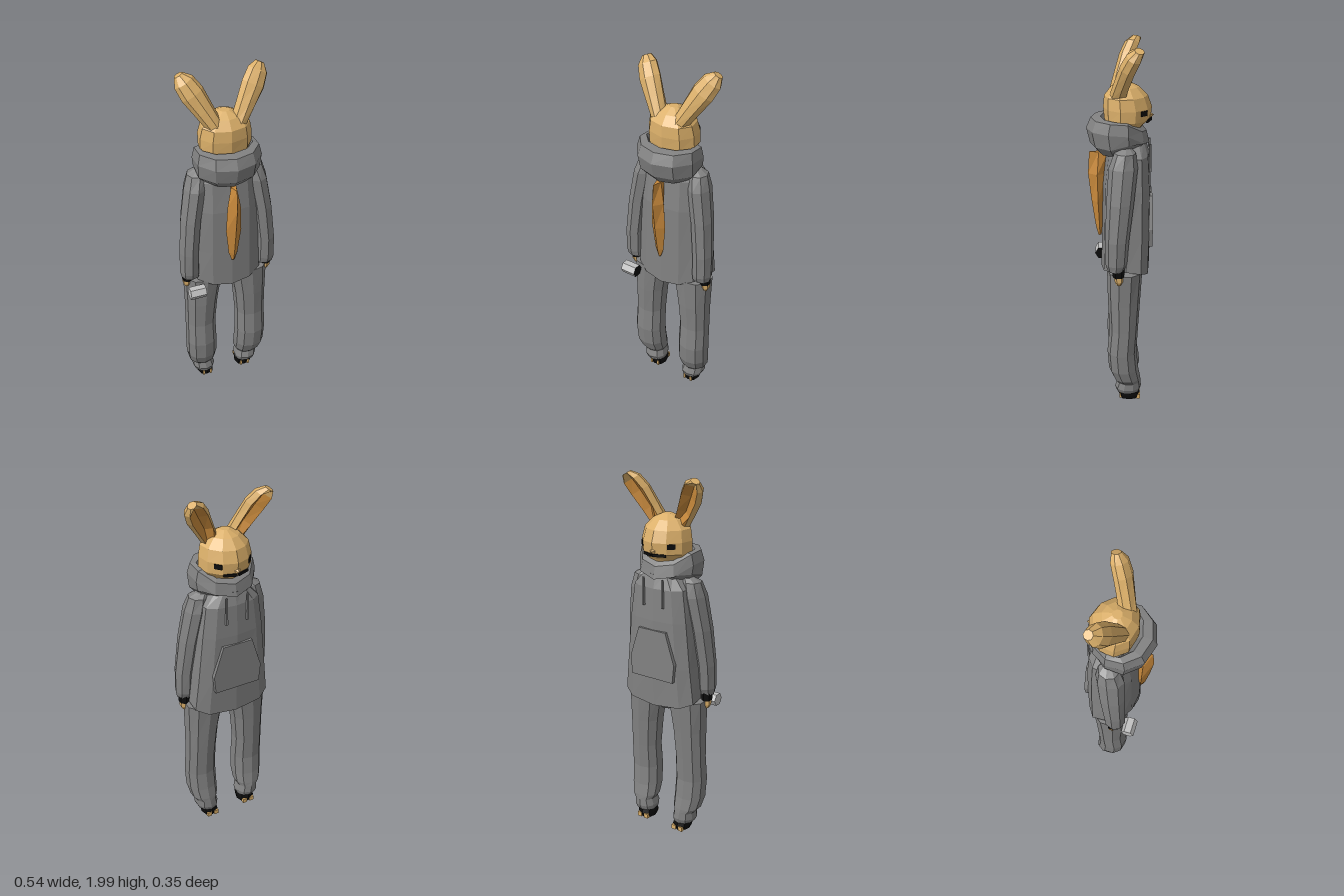
import * as THREE from 'three';

const mat = (name, color) => {
  const m = new THREE.MeshStandardMaterial({ color, flatShading: true });
  m.name = name;
  return m;
};

// Loft through level rings [y, centreX, halfWidth, zBack, zFront]; the face of the figure looks to -z.
// power < 1 squares the outline, warp adjusts a point, paint picks a material index per side.
function loft(rings, n, { power = 1, warp, paint = () => 0 } = {}) {
  const bend = (v) => Math.sign(v) * Math.pow(Math.abs(v), power);
  const pts = rings.map(([y, xc, rx, zb, zf], i) =>
    Array.from({ length: n }, (_, j) => {
      const a = (j / n) * Math.PI * 2;
      const p = new THREE.Vector3(xc + rx * bend(Math.sin(a)), y, (zb + zf) / 2 + ((zb - zf) / 2) * bend(Math.cos(a)));
      if (warp) warp(p, i, j, a);
      return p;
    }));
  const faces = [[], []];
  const tri = (g, ...ps) => ps.forEach((p) => faces[g].push(p.x, p.y, p.z));
  for (let i = 0; i < rings.length - 1; i++) {
    for (let j = 0; j < n; j++) {
      const k = (j + 1) % n, g = paint(i, j);
      tri(g, pts[i][j], pts[i][k], pts[i + 1][k]);
      tri(g, pts[i][j], pts[i + 1][k], pts[i + 1][j]);
    }
  }
  const middle = (r) => r.reduce((s, p) => s.add(p), new THREE.Vector3()).divideScalar(n);
  const low = pts[0], high = pts[rings.length - 1], lc = middle(low), hc = middle(high);
  for (let j = 0; j < n; j++) {
    const k = (j + 1) % n;
    tri(0, lc, low[k], low[j]);
    tri(0, hc, high[j], high[k]);
  }
  const geo = new THREE.BufferGeometry();
  geo.setAttribute('position', new THREE.Float32BufferAttribute([...faces[0], ...faces[1]], 3));
  geo.addGroup(0, faces[0].length / 3, 0);
  if (faces[1].length) geo.addGroup(faces[0].length / 3, faces[1].length / 3, 1);
  geo.computeVertexNormals();
  return geo;
}

export function createModel() {
  const root = new THREE.Group();
  const fur = mat('tan fur', 0xdcb06a);
  const orange = mat('orange fur', 0xc98a3c);
  const cloth = mat('grey cloth', 0x828282);
  const black = mat('black', 0x0c0c0c);
  const light = mat('light grey', 0xc0c0c0);

  const add = (name, geo, material, x = 0, y = 0, z = 0) => {
    const m = new THREE.Mesh(geo, material);
    m.name = name;
    m.position.set(x, y, z);
    root.add(m);
    return m;
  };

  // Hooded top: flared hem that is wider towards the chest side and lifted at the sides
  add('torso', loft([
    [0.77, 0, 0.22, 0.1, -0.16], [1.0, 0, 0.205, 0.095, -0.165], [1.25, 0, 0.185, 0.09, -0.165],
    [1.42, 0, 0.165, 0.07, -0.155], [1.5, 0, 0.09, 0.05, -0.13],
  ], 12, {
    power: 0.75,
    warp: (p, i, j, a) => {
      p.x *= 1 - [0.22, 0.16, 0.1, 0.05, 0][i] * Math.cos(a);
      if (i === 0) p.y += 0.05 * Math.sin(a) ** 2;
    },
  }), cloth);
  add('hood', loft([
    [1.42, 0, 0.12, 0.11, -0.12], [1.47, 0, 0.172, 0.155, -0.15], [1.55, 0, 0.178, 0.174, -0.155],
    [1.605, 0, 0.165, 0.15, -0.14], [1.61, 0, 0.14, 0.1, -0.115], [1.54, 0, 0.115, 0.06, -0.09],
  ], 10, {
    warp: (p, i) => {
      if (p.z < -0.03) p.y += i < 2 ? 0.025 : (p.z + 0.03) * 0.65;
    },
  }), cloth);
  const pocketShape = new THREE.Shape([[-0.13, 0.93], [0.13, 0.93], [0.14, 1.03], [0.085, 1.2], [-0.085, 1.2], [-0.14, 1.03]]
    .map(([x, y]) => new THREE.Vector2(x, y)));
  add('pocket', new THREE.ExtrudeGeometry(pocketShape, { depth: 0.022, bevelEnabled: false }), cloth, 0, 0, -0.172);

  // Trousers seat
  add('trouserSeat', loft([
    [0.72, 0, 0.05, 0.02, -0.07], [0.78, 0, 0.19, 0.07, -0.11], [0.88, 0, 0.19, 0.07, -0.12],
  ], 10), cloth);

  // Tail hanging down the back
  add('tail', loft([
    [0.95, 0, 0.008, 0.115, 0.1], [1.0, 0, 0.025, 0.128, 0.088], [1.15, 0, 0.042, 0.15, 0.08],
    [1.3, 0, 0.036, 0.167, 0.07], [1.42, 0, 0.014, 0.16, 0.06],
  ], 4), orange);

  // Head with tapered muzzle
  add('head', loft([
    [1.5, 0, 0.08, 0.04, -0.08], [1.57, 0, 0.12, 0.07, -0.125], [1.6, 0, 0.138, 0.08, -0.16],
    [1.66, 0, 0.137, 0.085, -0.166], [1.72, 0, 0.125, 0.08, -0.145], [1.765, 0, 0.08, 0.045, -0.1],
    [1.79, 0, 0.025, 0.0, -0.05],
  ], 10, { warp: (p, i, j, a) => { p.x *= 1 + 0.15 * Math.cos(a); } }), fur);
  const nose = add('nose', new THREE.ConeGeometry(0.025, 0.03, 5), fur, 0, 1.615, -0.162);
  nose.rotation.x = -Math.PI / 2;

  for (const s of [1, -1]) {
    const side = s > 0 ? 'left' : 'right';

    // Ears: dented on the facing side, with an orange inside
    const ear = add(side + 'Ear', loft([
      [-0.03, 0, 0.042, 0.05, -0.045], [0.08, 0, 0.052, 0.045, -0.045], [0.18, 0, 0.062, 0.04, -0.05],
      [0.25, 0, 0.054, 0.025, -0.06], [0.29, 0, 0.024, -0.005, -0.055],
    ], 8, {
      warp: (p, i, j) => { if (j === 4 && i > 0 && i < 4) p.z += 0.042; },
      paint: (i, j) => ((j === 3 || j === 4) && i < 3 ? 1 : 0),
    }), [fur, orange], s * 0.07, 1.74, 0);
    ear.rotation.set(-0.25, 0, -s * 0.5);

    // Eyes and mouth line
    const eye = add(side + 'Eye', new THREE.BoxGeometry(0.042, 0.026, 0.009), black, s * 0.088, 1.643, -0.122);
    eye.rotation.y = Math.atan2(s * 0.75, -0.65);
    const mouth = add(side + 'Mouth', new THREE.BoxGeometry(0.07, 0.014, 0.009), black, s * 0.036, 1.597, -0.151);
    mouth.rotation.y = Math.atan2(s * 0.36, -0.93);

    // Drawstring
    add(side + 'Drawstring', new THREE.CylinderGeometry(0.006, 0.009, 0.15, 5), cloth, s * 0.06, 1.4, -0.158);

    // Sleeve, wrist and hand
    add(side + 'Sleeve', loft([
      [0.835, s * 0.215, 0.05, 0.068, -0.02], [0.87, s * 0.218, 0.054, 0.078, -0.035],
      [1.0, s * 0.217, 0.054, 0.08, -0.045], [1.2, s * 0.198, 0.056, 0.072, -0.07],
      [1.38, s * 0.168, 0.058, 0.06, -0.09], [1.455, s * 0.15, 0.054, 0.03, -0.08],
      [1.475, s * 0.13, 0.035, 0.0, -0.06],
    ], 8), cloth);
    add(side + 'Wrist', loft([[0.8, s * 0.23, 0.029, 0.04, -0.02], [0.86, s * 0.228, 0.03, 0.045, -0.02]], 6), black);
    add(side + 'Hand', loft([
      [0.755, s * 0.232, 0.012, 0.02, -0.005], [0.775, s * 0.232, 0.024, 0.03, -0.015], [0.81, s * 0.23, 0.027, 0.036, -0.018],
    ], 6), fur);

    // Baggy trouser leg with gathered cuff
    add(side + 'Leg', loft([
      [0.055, s * 0.13, 0.058, 0.02, -0.11], [0.08, s * 0.133, 0.066, 0.028, -0.118],
      [0.12, s * 0.138, 0.06, 0.015, -0.115], [0.145, s * 0.143, 0.078, 0.035, -0.112],
      [0.21, s * 0.148, 0.087, 0.062, -0.1], [0.32, s * 0.151, 0.088, 0.07, -0.09],
      [0.46, s * 0.15, 0.085, 0.058, -0.098], [0.62, s * 0.143, 0.092, 0.066, -0.108],
      [0.8, s * 0.13, 0.11, 0.07, -0.12],
    ], 10, { power: 0.9 }), cloth);

    // Foot with tan toes and sole
    add(side + 'Foot', loft([
      [0.006, s * 0.12, 0.046, 0.0, -0.105], [0.03, s * 0.122, 0.05, 0.008, -0.112], [0.07, s * 0.125, 0.045, 0.005, -0.1],
    ], 8, { power: 0.8 }), black);
    add(side + 'Sole', loft([[0, s * 0.12, 0.036, -0.01, -0.1], [0.008, s * 0.12, 0.04, -0.005, -0.105]], 8), fur);
    for (const t of [-0.022, 0.022]) {
      add(side + 'Toe', new THREE.BoxGeometry(0.026, 0.026, 0.02), fur, s * 0.12 + t, 0.018, -0.102);
      add(side + 'Heel', new THREE.BoxGeometry(0.012, 0.03, 0.01), fur, s * 0.12 + t, 0.022, -0.002);
    }
  }

  // Held canister with a dark end
  const can = add('canister', new THREE.CylinderGeometry(0.036, 0.036, 0.088, 6), [light, black, light], -0.202, 0.77, 0.1);
  can.rotation.z = -Math.PI / 2;
  return root;
}
